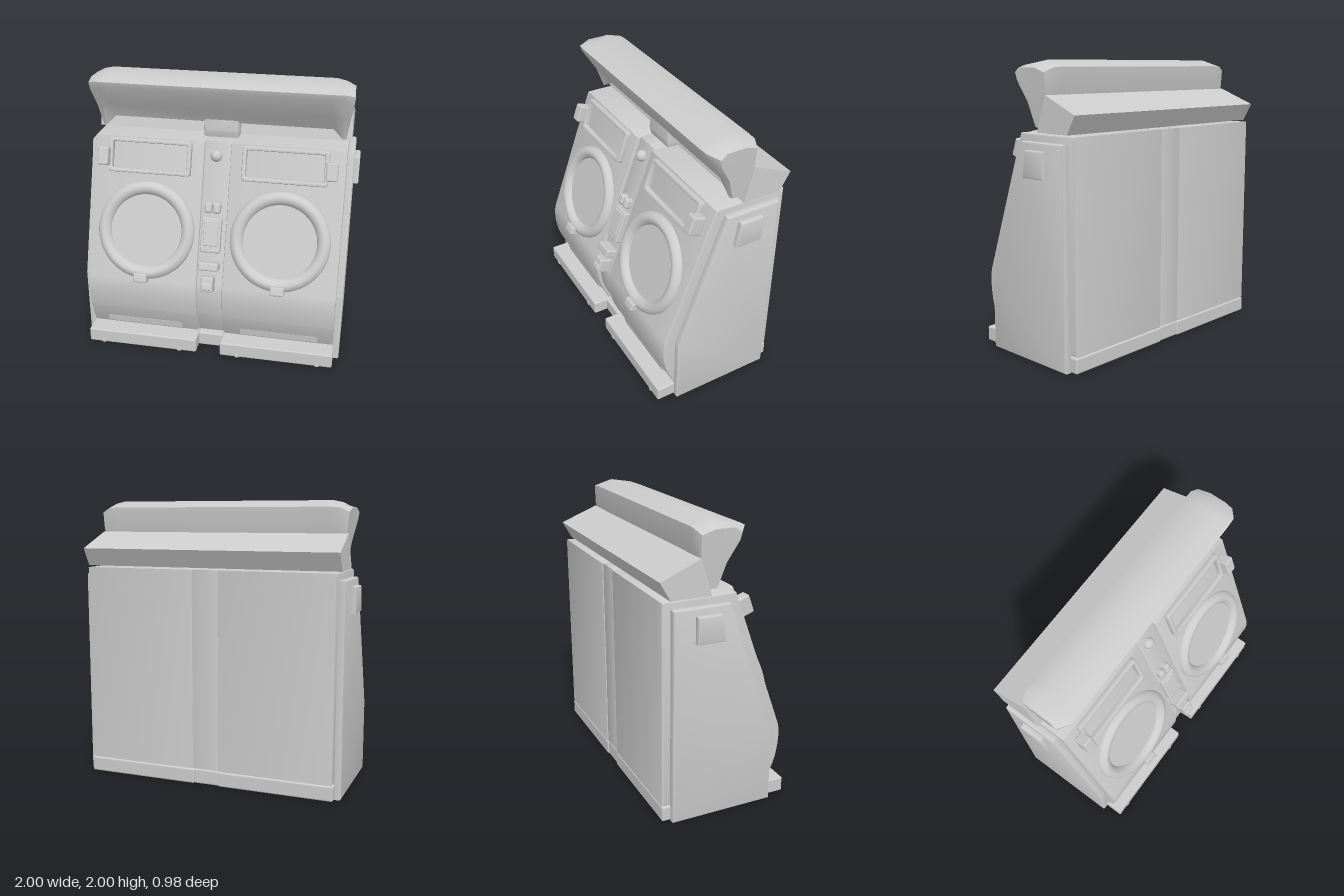
import * as THREE from 'three';
import { RoundedBoxGeometry } from 'three/addons/geometries/RoundedBoxGeometry.js';
import { toCreasedNormals } from 'three/addons/utils/BufferGeometryUtils.js';

const TILT = Math.atan(0.366); // lean of the control face
const mat = new THREE.MeshStandardMaterial({ color: 0xcccccc });
const matDouble = new THREE.MeshStandardMaterial({ color: 0xcccccc, side: THREE.DoubleSide });

function add(parent, name, geo, x = 0, y = 0, z = 0, material = mat) {
  const m = new THREE.Mesh(geo, material);
  m.name = name;
  m.position.set(x, y, z);
  parent.add(m);
  return m;
}

// Box with softened edges
const rbox = (w, h, d, r = 0.012) => new RoundedBoxGeometry(w, h, d, 2, r);

// Places geometry on the leaning face: x, height y, d = distance out of the face
function onFace(parent, name, geo, x, y, d = 0, material = mat) {
  const z = 0.43 - 0.366 * (y - 0.52);
  const m = add(parent, name, geo, x, y + d * Math.sin(TILT), z + d * Math.cos(TILT), material);
  m.rotation.x = -TILT;
  return m;
}

// Extrudes a (z, y) shape along x, centred, with bevelled edges
function extrudeX(shape, width, bevel) {
  const g = new THREE.ExtrudeGeometry(shape, {
    depth: width - 2 * bevel, curveSegments: 10, bevelEnabled: true,
    bevelThickness: bevel, bevelSize: bevel, bevelOffset: -bevel, bevelSegments: 2,
  });
  g.translate(0, 0, -(width - 2 * bevel) / 2);
  g.rotateY(-Math.PI / 2);
  return toCreasedNormals(g, 0.5);
}

const polygon = (pts) => new THREE.Shape(pts.map(([a, b]) => new THREE.Vector2(a, b)));

// Cabinet outline seen from the side, front and back pulled in by an inset
function cabinetShape(front, back) {
  const s = new THREE.Shape();
  s.moveTo(-0.46 + back, 0.115);
  s.lineTo(0.34 - front, 0.115);
  s.quadraticCurveTo(0.395 - front, 0.23, 0.413 - front, 0.30);
  s.quadraticCurveTo(0.447 - front, 0.46, 0.419 - front, 0.55);
  s.lineTo(0.06 - front, 1.53);
  s.lineTo(-0.46 + back, 1.53);
  s.closePath();
  return s;
}

// Skins (z, y) loops placed at rising x positions; a loop point may add its own x shift
function loft(sections) {
  const n = sections[0].pts.length, pos = [];
  const P = (s, j) => {
    const [z, y, dx = 0] = s.pts[j % n];
    return [s.x - Math.sign(s.x) * dx, y, z];
  };
  for (let i = 0; i < sections.length - 1; i++) {
    for (let j = 0; j < n; j++) {
      const a = P(sections[i], j), b = P(sections[i], j + 1);
      const c = P(sections[i + 1], j + 1), d = P(sections[i + 1], j);
      pos.push(...a, ...b, ...c, ...a, ...c, ...d);
    }
  }
  for (const [s, flip] of [[sections[0], true], [sections.at(-1), false]]) {
    const mid = [0, 0, 0];
    for (let j = 0; j < n; j++) P(s, j).forEach((v, k) => { mid[k] += v / n; });
    for (let j = 0; j < n; j++) {
      const a = P(s, j), b = P(s, j + 1);
      pos.push(...mid, ...(flip ? b : a), ...(flip ? a : b));
    }
  }
  const g = new THREE.BufferGeometry();
  g.setAttribute('position', new THREE.Float32BufferAttribute(pos, 3));
  return toCreasedNormals(g, 0.6);
}

// Rounded porthole ring facing +z
function ringGeometry() {
  const curve = new THREE.SplineCurve([[0.36, -0.01], [0.355, 0.02], [0.325, 0.045],
    [0.295, 0.042], [0.27, 0.02], [0.26, -0.01]].map(([r, h]) => new THREE.Vector2(r, h)));
  return new THREE.LatheGeometry(curve.getPoints(14), 56).rotateX(Math.PI / 2);
}

function roundedRect(target, w, h, r) {
  const x = w / 2, y = h / 2;
  target.moveTo(-x + r, -y);
  target.lineTo(x - r, -y).quadraticCurveTo(x, -y, x, -y + r);
  target.lineTo(x, y - r).quadraticCurveTo(x, y, x - r, y);
  target.lineTo(-x + r, y).quadraticCurveTo(-x, y, -x, y - r);
  target.lineTo(-x, -y + r).quadraticCurveTo(-x, -y, -x + r, -y);
  return target;
}

function frameGeometry() {
  const s = roundedRect(new THREE.Shape(), 0.61, 0.25, 0.025);
  s.holes.push(roundedRect(new THREE.Path(), 0.55, 0.19, 0.012));
  const g = new THREE.ExtrudeGeometry(s, {
    depth: 0.03, bevelThickness: 0.01, bevelSize: 0.01, bevelOffset: -0.01, bevelSegments: 2, curveSegments: 4,
  });
  return toCreasedNormals(g, 0.6);
}

export function createModel() {
  const model = new THREE.Group();
  model.name = 'doubleCabinetMachine';

  for (const s of [-1, 1]) {
    const half = new THREE.Group();
    half.name = s > 0 ? 'leftHalf' : 'rightHalf';
    model.add(half);

    // Cabinet, side panel and plinth
    add(half, 'cabinet', extrudeX(cabinetShape(0, 0), 0.82, 0.012), s * 0.505);
    add(half, 'sidePanel', extrudeX(polygon([[-0.4, 0], [0.34, 0], [0.34, 0.52],
      [0, 1.48], [-0.4, 1.48]]), 0.06, 0.012), s * 0.932);
    add(half, 'plinth', rbox(0.83, 0.107, 0.935), s * 0.505, 0.0565, 0.0075);
    for (const x of [0.22, 0.81]) add(half, 'foot', rbox(0.03, 0.03, 0.03, 0.005), s * x, 0.016, 0.464);

    // Trapezoid button on the outer side
    add(half, 'sideButton', extrudeX(polygon([[-0.25, 1.25], [-0.05, 1.25], [-0.08, 1.43],
      [-0.25, 1.43]]), 0.05, 0.01), s * 0.975);

    // Porthole with glass and handle
    onFace(half, 'portholeRing', ringGeometry(), s * 0.49, 0.9, 0, matDouble);
    onFace(half, 'portholeGlass', new THREE.CircleGeometry(0.27, 48), s * 0.49, 0.9, 0.004);
    onFace(half, 'portholeHandle', rbox(0.1, 0.065, 0.08), s * 0.5, 0.575, 0.035);

    // Display frame with latch
    onFace(half, 'displayFrame', frameGeometry(), s * 0.49, 1.405);
    onFace(half, 'displayLatch', rbox(0.08, 0.13, 0.1), s * 0.82, 1.39, 0.05);

    // Low ledge above the plinth
    const ledge = add(half, 'lowerLedge', rbox(0.58, 0.07, 0.03), s * 0.51, 0.165, 0.356);
    ledge.rotation.x = 0.15;
  }

  // Recessed strip joining the halves
  add(model, 'centreStrip', extrudeX(cabinetShape(0.025, 0.008), 0.2, 0.005));
  add(model, 'centrePlinth', rbox(0.19, 0.107, 0.82), 0, 0.058, -0.042);

  // Controls down the strip
  onFace(model, 'knob', new THREE.SphereGeometry(0.042, 24, 16), -0.01, 1.44, -0.015);
  for (const x of [-0.04, 0.022]) onFace(model, 'pushButton', rbox(0.054, 0.08, 0.07, 0.02), x, 1.09, -0.01);
  onFace(model, 'panelPlate', rbox(0.145, 0.255, 0.05), -0.008, 0.905, -0.01);
  onFace(model, 'panelScreen', rbox(0.105, 0.19, 0.03, 0.008), -0.008, 0.92, 0.01);
  onFace(model, 'tray', rbox(0.145, 0.06, 0.09), -0.006, 0.695, 0.015);
  onFace(model, 'coinBox', rbox(0.09, 0.11, 0.1), -0.006, 0.575, 0.02);
  onFace(model, 'coinBoxLip', rbox(0.075, 0.05, 0.05), -0.006, 0.56, 0.055);

  // Sloped rear housing
  const wedge = [[-0.2, 1.78, 0.01], [-0.13, 1.54], [-0.41, 1.54], [-0.48, 1.665]];
  add(model, 'rearHousing', loft([{ x: -0.94, pts: wedge }, { x: 0.935, pts: wedge }]));

  // Overhanging visor, chamfered at both ends
  const endLoop = [[-0.11, 1.95, 0.005], [0.02, 1.95, 0.005], [0.07, 1.92], [0.06, 1.87, 0.005],
    [-0.02, 1.73, 0.025], [-0.07, 1.57, 0.045], [-0.14, 1.57, 0.045], [-0.2, 1.8, 0.02], [-0.2, 1.92, 0.01]];
  const nearLoop = [[-0.1, 1.985], [0.06, 1.965], [0.125, 1.945], [0.115, 1.91],
    [0.0, 1.73], [-0.06, 1.57], [-0.14, 1.57], [-0.21, 1.8], [-0.22, 1.95]];
  const midLoop = [[-0.1, 2.0], [0.06, 1.972], [0.13, 1.945], [0.12, 1.91],
    [0.0, 1.75], [-0.07, 1.64], [-0.16, 1.64], [-0.21, 1.8], [-0.22, 1.955]];
  add(model, 'visor', loft([
    { x: -0.94, pts: endLoop }, { x: -0.87, pts: nearLoop }, { x: -0.8, pts: midLoop },
    { x: 0.8, pts: midLoop }, { x: 0.87, pts: nearLoop }, { x: 0.94, pts: endLoop },
  ]));

  // Bracket holding the visor
  add(model, 'visorBracket', extrudeX(polygon([[-0.2, 1.525], [-0.06, 1.525], [-0.045, 1.58],
    [-0.06, 1.68], [-0.2, 1.68]]), 0.26, 0.02));

  return model;
}
